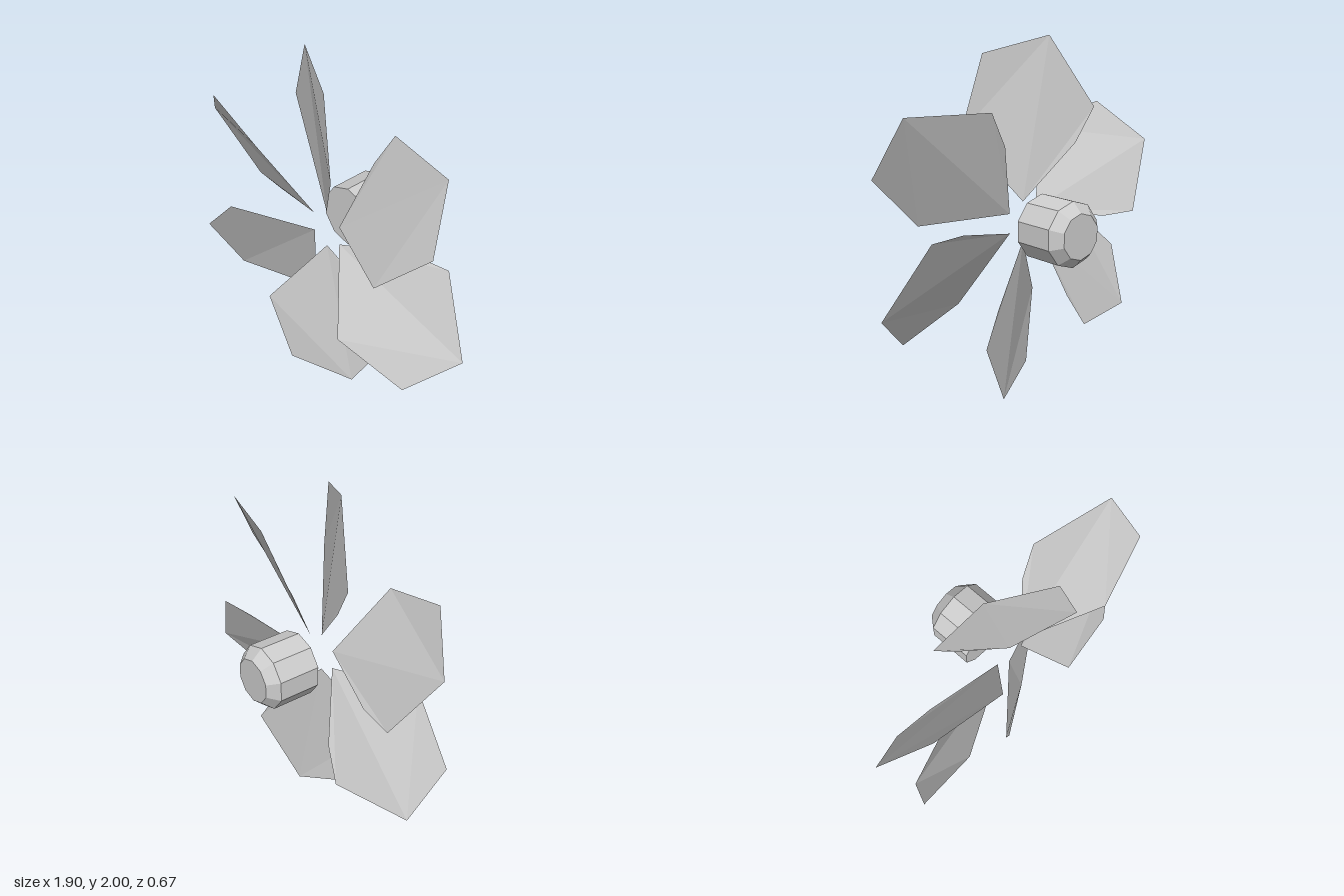
import * as THREE from 'three';

export function createModel() {
  const model = new THREE.Group();
  model.name = 'fan';
  const grey = new THREE.MeshStandardMaterial({ color: 0xcccccc, flatShading: true, side: THREE.DoubleSide });
  grey.name = 'plain grey';

  // One pitched blade, pointing up from the fan axis: a fan of triangles around the tip
  const root = [0, 0.11, 0.12];
  const kink = [-0.28, 0.42, 0.0];
  const left = [-0.39, 0.61, -0.03];
  const tip = [-0.17, 1.0, 0.095];
  const outer = [0.15, 0.91, 0.27];
  const right = [0.255, 0.49, 0.33];
  const faces = [
    [tip, right, outer],
    [tip, root, right],
    [tip, left, root],
    [left, kink, root],
  ];
  const bladeGeometry = new THREE.BufferGeometry();
  bladeGeometry.setAttribute('position', new THREE.Float32BufferAttribute(faces.flat(2), 3));
  bladeGeometry.computeVertexNormals();

  // Six blades around the axis
  const blades = new THREE.Group();
  blades.name = 'blades';
  blades.position.y = 1;
  for (let i = 0; i < 6; i++) {
    const blade = new THREE.Mesh(bladeGeometry, grey);
    blade.name = `blade${i + 1}`;
    blade.rotation.z = (i * Math.PI) / 3;
    blades.add(blade);
  }
  model.add(blades);

  // Ten-sided hub with a bevelled back end
  const profile = [[0, -0.335], [0.125, -0.335], [0.18, -0.275], [0.18, -0.035], [0, -0.035]]
    .map(([r, z]) => new THREE.Vector2(r, z));
  const hub = new THREE.Mesh(new THREE.LatheGeometry(profile, 10).rotateX(Math.PI / 2), grey);
  hub.name = 'hub';
  hub.position.y = 1;
  model.add(hub);

  return model;
}
